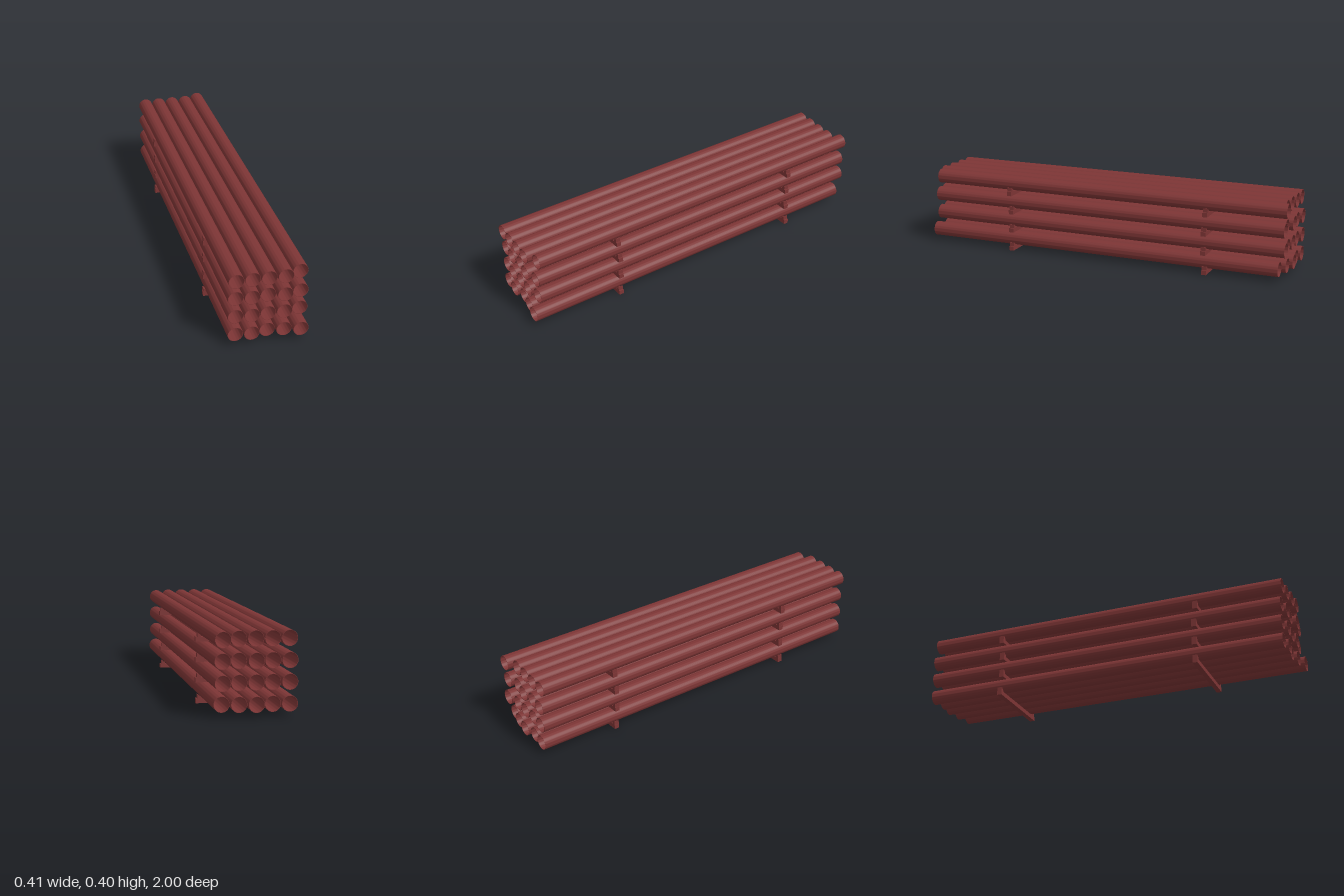
import * as THREE from 'three';
import { toCreasedNormals } from 'three/addons/utils/BufferGeometryUtils.js';

const PIPE_R = 0.038, WALL = 0.0018, PIPE_LEN = 1.963;
const BEAM_W = 0.408, BEAM_H = 0.023, BEAM_D = 0.026;
const columns = [-0.161, -0.0825, -0.004, 0.0755, 0.154];

// Tiers from the ground up: beam base, beam positions, and front end of each pipe
const tiers = [
  { y: 0, beams: [0.514, -0.582], ends: [0.965, 0.975, 0.965, 0.98, 1.0] },
  { y: 0.102, beams: [0.512, -0.575], ends: [0.965, 0.975, 0.975, 0.98, 0.97] },
  { y: 0.203, beams: [0.512, -0.575], ends: [0.965, 0.975, 0.97, 0.988, 0.975] },
  { y: 0.304, beams: [0.521, -0.582], ends: [0.975, 0.979, 0.985, 0.989, 0.963] },
];

// Hollow pipe, extruded along z and centred
function pipeGeometry() {
  const ring = new THREE.Shape().absarc(0, 0, PIPE_R, 0, Math.PI * 2);
  ring.holes.push(new THREE.Path().absarc(0, 0, PIPE_R - WALL, 0, Math.PI * 2, true));
  const g = new THREE.ExtrudeGeometry(ring, { depth: PIPE_LEN, bevelEnabled: false, curveSegments: 32 });
  g.translate(0, 0, -PIPE_LEN / 2);
  return toCreasedNormals(g, 0.6);
}

// Chock with a sloping inner face; side is -1 or 1
function chockGeometry(side) {
  const outer = side < 0 ? -0.202 : 0.196;
  const profile = [[0, 0], [0, 0.02], [0.003, 0.02], [0.019, 0.007], [0.019, 0]];
  const shape = new THREE.Shape(profile.map(([x, y]) => new THREE.Vector2(outer - side * x, y)));
  const g = new THREE.ExtrudeGeometry(shape, { depth: BEAM_D, bevelEnabled: false });
  return g.translate(0, BEAM_H, -BEAM_D / 2);
}

export function createModel() {
  const rust = new THREE.MeshStandardMaterial({ color: 0x7d3535 });
  rust.name = 'rustRed';
  const model = new THREE.Group();
  model.name = 'pipeStack';

  const pipeGeo = pipeGeometry();
  const beamGeo = new THREE.BoxGeometry(BEAM_W, BEAM_H, BEAM_D).translate(0, BEAM_H / 2, 0);
  const chocks = { rightChock: chockGeometry(-1), leftChock: chockGeometry(1) };

  const add = (parent, name, geo, x, y, z) => {
    const mesh = new THREE.Mesh(geo, rust);
    mesh.name = name;
    mesh.position.set(x, y, z);
    parent.add(mesh);
  };

  tiers.forEach(({ y, beams, ends }, i) => {
    const tier = new THREE.Group();
    tier.name = `tier${i + 1}`;
    tier.position.y = y;
    // Cross beams with a chock at each end
    for (const z of beams) {
      add(tier, 'crossBeam', beamGeo, 0, 0, z);
      for (const name in chocks) add(tier, name, chocks[name], 0, 0, z);
    }
    // Row of slightly staggered pipes
    columns.forEach((x, c) => add(tier, 'pipe', pipeGeo, x, BEAM_H + PIPE_R + 0.001, ends[c] - PIPE_LEN / 2));
    model.add(tier);
  });
  return model;
}
